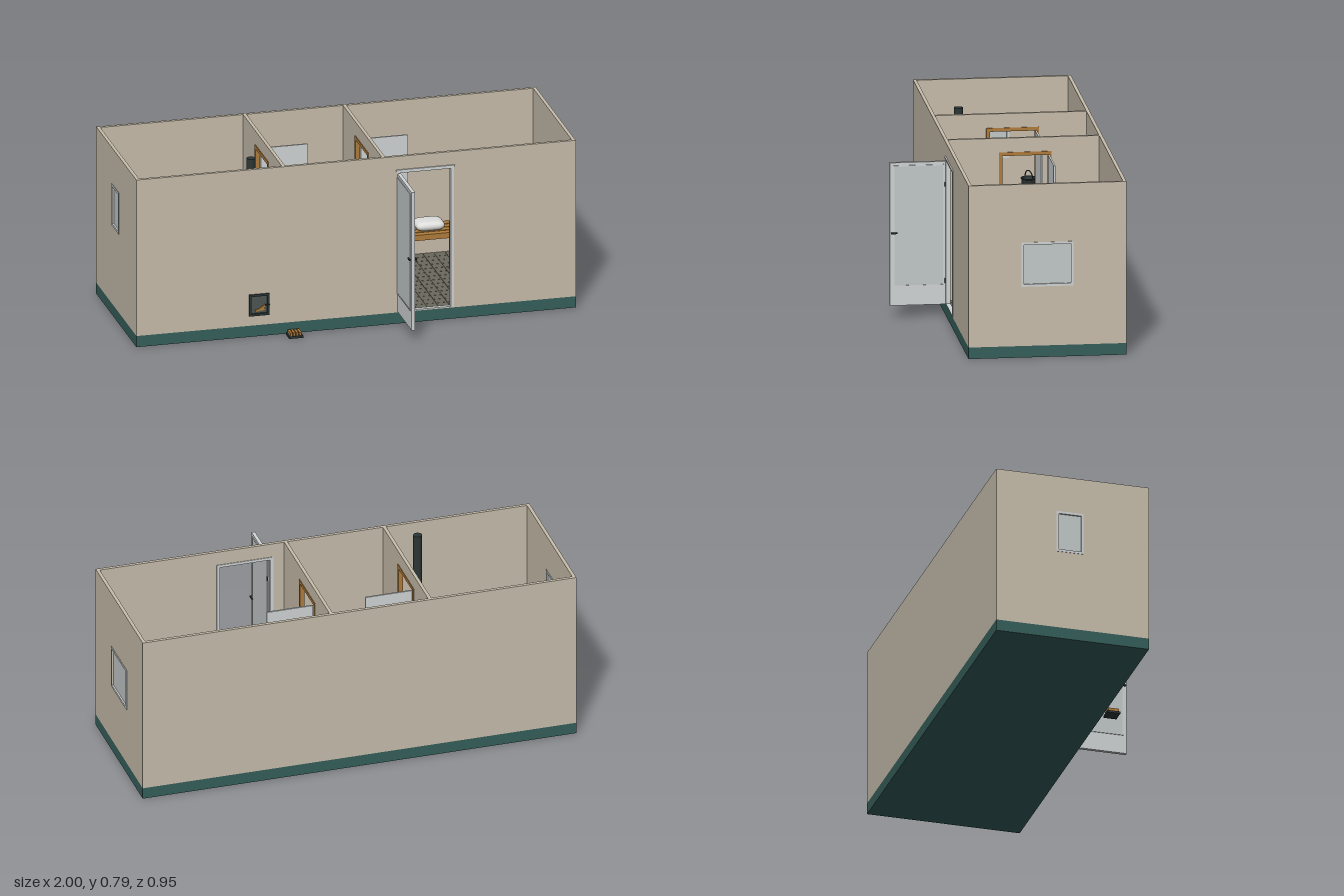
import * as THREE from 'three';
import { RoundedBoxGeometry } from 'three/addons/geometries/RoundedBoxGeometry.js';

const material = (name, color) => {
  const m = new THREE.MeshStandardMaterial({ color });
  m.name = name;
  return m;
};

export function createModel() {
  const wall = material('beige wall', 0xc8beac);
  const teal = material('teal base', 0x36605c);
  const wood = material('wood', 0xb07c3c);
  const tile = material('floor tile', 0x6b695d);
  const pale = material('pale paint', 0xd2d6d6);
  const glass = material('glass', 0xc4cacb);
  const iron = material('dark iron', 0x2c3636);
  const stone = material('stone', 0x4e5553);
  const cloth = material('white cloth', 0xdededc);

  const root = new THREE.Group();
  root.name = 'saunaCabin';
  let target = root;
  const group = (name, build) => {
    const g = new THREE.Group();
    g.name = name;
    root.add(g);
    target = g;
    build();
    target = root;
    return g;
  };
  const add = (name, geo, mat, x = 0, y = 0, z = 0) => {
    const m = new THREE.Mesh(geo, mat);
    m.name = name;
    m.position.set(x, y, z);
    target.add(m);
    return m;
  };
  // Box given by its limits
  const box = (name, mat, x0, x1, y0, y1, z0, z1) =>
    add(name, new THREE.BoxGeometry(x1 - x0, y1 - y0, z1 - z0), mat,
      (x0 + x1) / 2, (y0 + y1) / 2, (z0 + z1) / 2);
  const cyl = (name, mat, r, h, x, y, z, rTop = r, sides = 20) =>
    add(name, new THREE.CylinderGeometry(rTop, r, h, sides), mat, x, y + h / 2, z);

  const X = 0.998, ZB = -0.475, ZF = 0.225, T = 0.015, BASE = 0.052, TOP = 0.783, FLOOR = 0.056;

  // Upright panel with rectangular openings [a0, a1, y0, y1]
  const panel = (a0, a1, holes, y0 = BASE, y1 = TOP, depth = T) => {
    const rect = (C, [p, q, r, s]) => {
      const c = new C();
      c.moveTo(p, r).lineTo(q, r).lineTo(q, s).lineTo(p, s).closePath();
      return c;
    };
    const s = rect(THREE.Shape, [a0, a1, y0, y1]);
    s.holes = holes.map(h => rect(THREE.Path, h));
    return new THREE.ExtrudeGeometry(s, { depth, bevelEnabled: false });
  };
  // The same panel lying across x; its outer face is at x, the body runs towards -x
  const crossPanel = (name, mat, x, ...args) =>
    add(name, panel(...args).rotateY(-Math.PI / 2), mat, x);

  // Shell
  box('base', teal, -X, X, 0, BASE, ZB, ZF);
  box('backWall', wall, -X, X, BASE, TOP, ZB, ZB + T);
  const hatch = [-0.48, -0.4, 0.103, 0.192];
  add('frontWall', panel(-X, X, [[0.193, 0.437, FLOOR, 0.712], hatch]), wall, 0, 0, ZF - T);
  const windows = [[1, -0.24, -0.01, 0.32, 0.52], [-1, -0.2, -0.075, 0.42, 0.615]];
  for (const [side, z0, z1, y0, y1] of windows) {
    const x = side * (X - T / 2);
    const i = 0.011;
    crossPanel('sideWall', wall, x + T / 2, ZB + T, ZF - T, [[z0 + i, z1 - i, y0 + i, y1 - i]]);
    crossPanel('windowFrame', pale, x + T / 2 + 0.002, z0, z1,
      [[z0 + i, z1 - i, y0 + i, y1 - i]], y0, y1, T + 0.004);
    box('windowPane', glass, x - 0.002, x + 0.002, y0 + i, y1 - i, z0 + i, z1 - i);
  }

  // Tiled floor in the washing and living rooms
  group('tiledFloor', () => {
    box('grout', iron, -0.325, X - T, BASE, 0.054, ZB + T, ZF - T);
    const nx = 26, nz = 14, w = (X - T + 0.325) / nx, d = (ZF - ZB - 2 * T) / nz;
    for (let i = 0; i < nx; i++) for (let j = 0; j < nz; j++) {
      const x = -0.325 + i * w, z = ZB + T + j * d;
      box('tile', tile, x + 0.001, x + w - 0.001, BASE, FLOOR, z + 0.001, z + d - 0.001);
    }
  });

  // Partitions with a framed doorway and an open inner door
  for (const x of [-0.327, 0.127]) group('partition', () => {
    const z0 = -0.245, z1 = -0.02, f = 0.012;
    crossPanel('partitionWall', wall, x + T / 2, ZB + T, ZF - T, [[z0, z1, FLOOR, 0.715]]);
    crossPanel('doorwayFrame', wood, x + T / 2 + 0.003, z0 - 0.004, z1 + 0.004,
      [[z0 + f, z1 - f, FLOOR + 0.004, 0.715 - f]], FLOOR, 0.719, T + 0.006);
    const h = x + 0.014;
    box('innerDoor', pale, h, h + 0.213, 0.06, 0.705, -0.24, -0.232);
    for (const s of [-1, 1]) {
      const z = -0.236 + s * 0.014;
      box('innerHandle', wood, h + 0.18, h + 0.193, 0.365, 0.415, z - 0.004, z + 0.004);
      for (const y of [0.375, 0.405])
        box('handlePost', wood, h + 0.184, h + 0.189, y - 0.003, y + 0.003,
          Math.min(z, -0.236), Math.max(z, -0.236));
    }
  });

  // Entrance frame and open entrance door
  group('entrance', () => {
    add('entranceFrame', panel(0.185, 0.445, [[0.2, 0.43, FLOOR + 0.003, 0.705]], FLOOR, 0.718, T + 0.005),
      pale, 0, 0, ZF - T - 0.003);
    box('topTrim', pale, 0.182, 0.448, 0.714, 0.721, ZF - 0.002, ZF + 0.006);
    box('doorSlab', pale, 0.187, 0.203, 0.057, 0.703, 0.228, 0.475);
    for (const x of [0.186, 0.204]) {
      crossPanel('doorMoulding', pale, x + 0.0025, 0.236, 0.459, [[0.241, 0.454, 0.148, 0.685]], 0.143, 0.69, 0.005);
      box('doorPanel', glass, x - 0.001, x + 0.001, 0.148, 0.685, 0.241, 0.454);
    }
    for (const y of [0.165, 0.6]) cyl('hinge', iron, 0.003, 0.02, 0.206, y - 0.01, 0.231, 0.003, 10);
    for (const x of [0.18, 0.21]) box('doorHandle', iron, x - 0.003, x + 0.003, 0.382, 0.388, 0.443, 0.471);
    box('handleSpindle', iron, 0.18, 0.21, 0.382, 0.388, 0.462, 0.468);
  });

  // Row of boards; along 'x' or 'z'
  const boards = (x0, x1, z0, z1, y, n, along, gap = 0.007, thick = 0.012) => {
    const [a, b] = along === 'x' ? [z0, z1] : [x0, x1];
    const w = (b - a + gap) / n;
    for (let i = 0; i < n; i++) {
      const p = a + i * w, q = p + w - gap;
      if (along === 'x') box('board', wood, x0, x1, y - thick, y, p, q);
      else box('board', wood, p, q, y - thick, y, z0, z1);
    }
  };
  const bench = (name, x0, x1, z0, z1, y, n, along, gap) => group(name, () => {
    boards(x0, x1, z0, z1, y, n, along, gap);
    const e = 0.014;
    for (const x of [x0, x1 - e]) {
      box('crossRail', wood, x, x + e, y - 0.026, y - 0.012, z0, z1);
      for (const z of [z0, z1 - e]) box('leg', wood, x, x + e, FLOOR, y - 0.026, z, z + e);
    }
    for (const z of [z0, z1 - e]) box('longRail', wood, x0 + e, x1 - e, y - 0.026, y - 0.012, z, z + e);
  });

  // Hot room: board floor, benches
  group('hotRoomFloor', () => {
    box('subfloor', iron, -X + T, -0.336, BASE, 0.055, ZB + T, ZF - T);
    boards(-0.79, -0.336, -0.3, 0.208, 0.066, 15, 'z', 0.006, 0.008);
    for (const z of [-0.13, 0.035]) box('joist', iron, -0.67, -0.52, 0.06, 0.067, z - 0.002, z + 0.002);
  });
  bench('upperSideBench', -0.982, -0.79, -0.458, 0.208, 0.3, 6, 'z');
  bench('upperBackBench', -0.785, -0.337, -0.458, -0.262, 0.3, 6, 'x');
  bench('lowerBench', -0.787, -0.682, -0.26, 0.208, 0.18, 4, 'z');

  // Washing room benches with folded towels
  bench('washBackBench', -0.31, 0.105, -0.458, -0.35, 0.2, 4, 'x');
  bench('washFrontBench', -0.31, 0.105, 0.085, 0.205, 0.2, 4, 'x');
  for (const z of [-0.407, 0.147])
    for (const y of [0.2, 0.212])
      add('towel', new RoundedBoxGeometry(0.08, 0.011, 0.075, 2, 0.004), cloth, -0.04, y + 0.006, z);

  // Living room furniture
  bench('backBench', 0.37, 0.975, -0.458, -0.31, 0.2, 4, 'x');
  bench('frontBench', 0.545, 0.975, 0.06, 0.205, 0.2, 4, 'x');
  bench('diningTable', 0.545, 0.945, -0.245, -0.01, 0.28, 3, 'x', 0.003);
  bench('sideTable', 0.15, 0.325, -0.458, -0.31, 0.2, 2, 'x', 0.002);
  add('sideTableBox', new RoundedBoxGeometry(0.08, 0.03, 0.075, 2, 0.004), cloth, 0.237, 0.215, -0.388);
  box('sideTableShelf', iron, 0.326, 0.365, 0.09, 0.1, -0.375, -0.355);
  for (const [x, z] of [[0.49, -0.388], [0.855, -0.388], [0.625, 0.13]]) {
    const c = add('cushion', new THREE.SphereGeometry(1, 24, 14), cloth, x, 0.221, z);
    // Squarish pillow from a sphere
    const p = c.geometry.attributes.position;
    const sq = v => Math.sign(v) * Math.pow(Math.abs(v), 0.45);
    for (let i = 0; i < p.count; i++)
      p.setXYZ(i, 0.066 * sq(p.getX(i)), 0.022 * p.getY(i), 0.053 * sq(p.getZ(i)));
    c.geometry.computeVertexNormals();
  }
  group('tableware', () => {
    cyl('jug', cloth, 0.02, 0.045, 0.743, 0.28, -0.13, 0.014);
    cyl('jugLid', iron, 0.008, 0.006, 0.743, 0.325, -0.13);
    for (const [x, z] of [[0.7, -0.105], [0.775, -0.1], [0.785, -0.14]])
      cyl('cup', cloth, 0.009, 0.02, x, 0.28, z, 0.012);
  });

  // Open pails with a hoop handle
  const pail = (x, y, z, r, h, mat) => group('pail', () => {
    const profile = [[0, 0], [r * 0.85, 0], [r, h], [r * 0.9, h], [r * 0.76, 0.006], [0, 0.006]]
      .map(([a, b]) => new THREE.Vector2(a, b));
    add('pailBody', new THREE.LatheGeometry(profile, 24), mat, x, y, z);
    add('pailRim', new THREE.TorusGeometry(r, 0.003, 6, 24).rotateX(Math.PI / 2), iron, x, y + h, z);
    add('pailHandle', new THREE.TorusGeometry(r, 0.0025, 6, 16, Math.PI).rotateY(0.4), iron, x, y + h, z);
  });
  pail(-0.885, 0.3, -0.275, 0.034, 0.05, iron);
  pail(-0.265, 0.2, 0.15, 0.04, 0.055, wood);

  // Stove with caged stones, flue and fire tunnel through the front wall
  group('stove', () => {
    box('stoveBody', iron, -0.517, -0.37, 0.075, 0.21, 0.02, 0.165);
    for (const x of [-0.51, -0.384]) for (const z of [0.025, 0.147])
      box('stoveLeg', iron, x, x + 0.008, FLOOR, 0.3, z, z + 0.008);
    for (const y of [0.235, 0.265, 0.295]) {
      for (const z of [0.022, 0.163]) box('cageBar', iron, -0.517, -0.37, y, y + 0.005, z - 0.002, z + 0.002);
      for (const x of [-0.515, -0.372]) box('cageBar', iron, x - 0.002, x + 0.002, y, y + 0.005, 0.02, 0.165);
    }
    for (let k = 0; k < 3; k++) for (let i = 0; i < 5; i++) for (let j = 0; j < 5; j++) {
      if (i === 2 && j === 2) continue;
      const s = add('stone', new THREE.DodecahedronGeometry(0.016), (i + j + k) % 3 ? iron : stone,
        -0.498 + i * 0.0273, 0.225 + k * 0.027, 0.039 + j * 0.0267);
      s.rotation.set(i * 1.7 + k, j * 2.3, k * 1.1 + i);
    }
    cyl('flue', iron, 0.02, 0.577, -0.443, 0.21, 0.092);
    const [x0, x1, y0, y1] = hatch;
    box('fireTunnel', iron, x0, x1, y0, y1, 0.165, 0.207);
    add('hatchFrame', panel(x0 - 0.006, x1 + 0.006, [[x0 + 0.004, x1 - 0.004, y0 + 0.004, y1 - 0.004]],
      y0 - 0.006, y1 + 0.006, 0.024), iron, 0, 0, 0.207);
    box('hatchPane', stone, x0, x1, y0, y1, 0.214, 0.22);
    for (const [x, y, a, l] of [[-0.435, 0.122, 0.15, 0.04], [-0.425, 0.132, 0.6, 0.04]])
      add('firewood', new THREE.BoxGeometry(l, 0.009, 0.005), wood, x, y, 0.222).rotation.z = a;
    box('hatchHandle', iron, -0.414, -0.394, 0.143, 0.148, 0.226, 0.236);
  });

  // Small boot scraper on the ground by the front wall
  group('bootScraper', () => {
    box('scraperBase', iron, -0.322, -0.258, 0, 0.01, 0.236, 0.295);
    boards(-0.316, -0.264, 0.241, 0.29, 0.025, 4, 'z', 0.004, 0.015);
  });

  return root;
}
